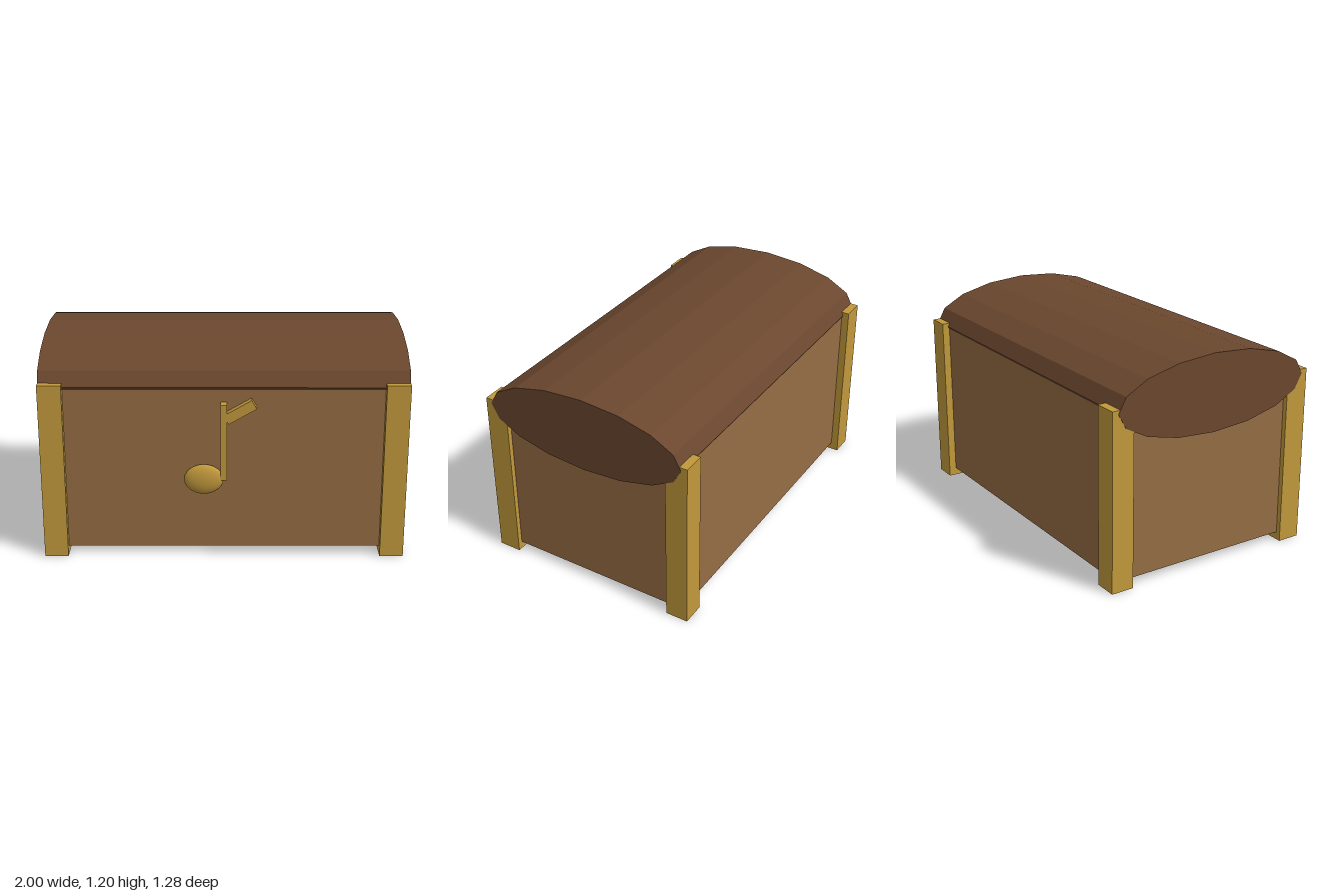
import * as THREE from 'three';

const flat = (geometry) => {
  const g = geometry.toNonIndexed();
  g.computeVertexNormals();
  return g;
};

export function createModel() {
  const chest = new THREE.Group();
  chest.name = 'chest';

  const paint = (name, color) => {
    const m = new THREE.MeshStandardMaterial({ color });
    m.name = name;
    return m;
  };
  const wood = paint('light wood', 0x956d44);
  const darkWood = paint('dark wood', 0x6b472e);
  const brass = paint('brass', 0xc2993c);

  const add = (name, geometry, material, x, y, z, parent = chest) => {
    const mesh = new THREE.Mesh(geometry, material);
    mesh.name = name;
    mesh.position.set(x, y, z);
    parent.add(mesh);
    return mesh;
  };

  // Body: a box whose lower edge is bevelled inward
  const bodyGeo = new THREE.BoxGeometry(1.94, 2, 1.174, 1, 2, 1);
  const p = bodyGeo.attributes.position;
  for (let i = 0; i < p.count; i++) {
    const level = Math.round(p.getY(i)) + 1;
    p.setY(i, [0.025, 0.045, 0.98][level]);
    if (level === 0) {
      p.setX(i, p.getX(i) - Math.sign(p.getX(i)) * 0.05);
      p.setZ(i, p.getZ(i) - Math.sign(p.getZ(i)) * 0.05);
    }
  }
  add('body', flat(bodyGeo), wood, 0, 0, -0.01);

  // Lid: a faceted elliptical barrel
  const lidGeo = new THREE.CylinderGeometry(1, 1, 2, 16);
  lidGeo.rotateZ(Math.PI / 2);
  lidGeo.scale(1, 0.216, 0.595);
  add('lid', flat(lidGeo), darkWood, 0, 0.979, -0.01);

  // Corner posts
  for (const sx of [-1, 1]) {
    for (const sz of [-1, 1]) {
      add('cornerPost', new THREE.BoxGeometry(0.13, 1, 0.13), brass,
        sx * 0.933, 0.5, sz * 0.565 - 0.01);
    }
  }

  // Brass ornament on the front: oval head, stem and slanted flag
  const ornament = new THREE.Group();
  ornament.name = 'ornament';
  chest.add(ornament);
  const headGeo = new THREE.SphereGeometry(1, 16, 12);
  headGeo.scale(0.108, 0.086, 0.034);
  add('ornamentHead', headGeo, brass, -0.11, 0.46, 0.605, ornament);
  add('ornamentStem', new THREE.BoxGeometry(0.035, 0.435, 0.054), brass, -0.001, 0.677, 0.601, ornament);
  const flag = add('ornamentFlag', new THREE.BoxGeometry(0.175, 0.056, 0.045), brass, 0.087, 0.853, 0.605, ornament);
  flag.rotation.z = Math.PI / 6;

  return chest;
}
